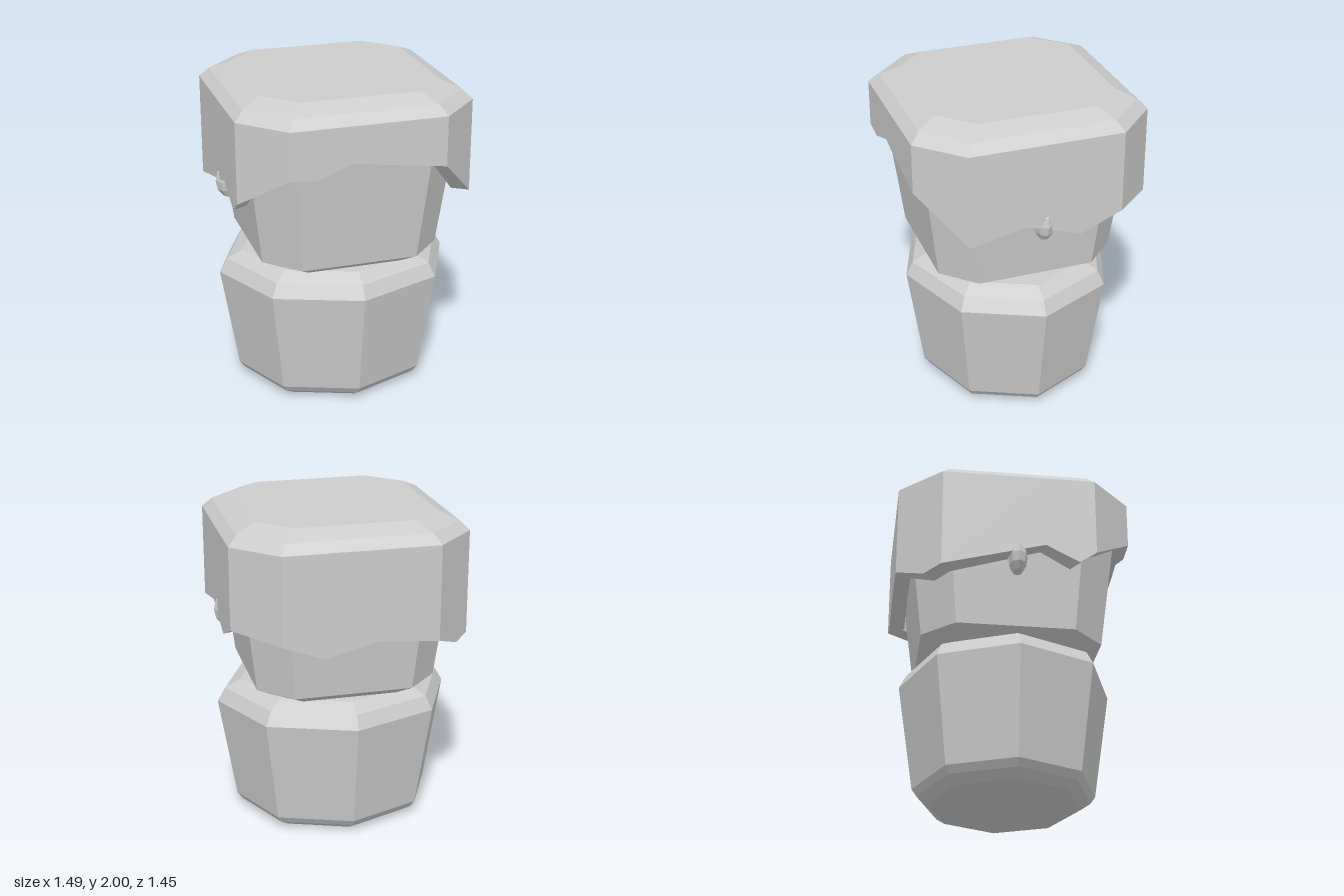
import * as THREE from 'three';

// Skin a stack of rings (equal point counts, counter-clockwise seen from above)
function loft(rings, capStart, capEnd) {
  const pos = [];
  const n = rings[0].length;
  const tri = (a, b, c) => pos.push(...a, ...b, ...c);
  for (let r = 0; r < rings.length - 1; r++) {
    const lo = rings[r], hi = rings[r + 1];
    for (let i = 0; i < n; i++) {
      const j = (i + 1) % n;
      tri(lo[i], lo[j], hi[j]);
      tri(lo[i], hi[j], hi[i]);
    }
  }
  const cap = (ring, up) => {
    const centre = [0, ring[0][1], 0];
    for (let i = 0; i < n; i++) {
      const j = (i + 1) % n;
      if (up) tri(centre, ring[i], ring[j]);
      else tri(centre, ring[j], ring[i]);
    }
  };
  if (capStart) cap(rings[0], false);
  if (capEnd) cap(rings[rings.length - 1], true);
  const g = new THREE.BufferGeometry();
  g.setAttribute('position', new THREE.Float32BufferAttribute(pos, 3));
  g.computeVertexNormals();
  return g;
}

// Square with cut corners, half width h
const CUT = 0.65;
const cutSquare = (h, y) => [
  [-CUT, 1], [CUT, 1], [1, CUT], [1, -CUT], [CUT, -1], [-CUT, -1], [-1, -CUT], [-1, CUT],
].map(([x, z]) => [x * h, y, z * h]);

// Eight-sided oval with a corner facing front
const oval = (r, y) => Array.from({ length: 8 }, (_, i) => {
  const a = (i * Math.PI) / 4;
  return [Math.sin(a) * r, y, Math.cos(a) * r * 0.892];
});

export function createModel() {
  const group = new THREE.Group();
  const grey = new THREE.MeshStandardMaterial({ color: 0xcccccc, flatShading: true });
  grey.name = 'plain grey';

  const add = (name, geometry) => {
    const mesh = new THREE.Mesh(geometry, grey);
    mesh.name = name;
    group.add(mesh);
    return mesh;
  };

  // Body: tapered, bevelled at both ends
  const bodyProfile = [[0.52, 0], [0.595, 0.045], [0.63, 0.09], [0.74, 0.75], [0.69, 0.835], [0.59, 0.885]];
  add('body', loft(bodyProfile.map(([r, y]) => oval(r, y)), true, true));

  // Head: widens upward into the hair
  const headProfile = [[0.3, 0.875], [0.45, 0.885], [0.555, 0.95], [0.66, 1.8]];
  add('head', loft(headProfile.map(([h, y]) => cutSquare(h, y)), true, true));

  // Hair: bevelled cap with a ragged hem; hem points are x, hem height, z
  const w = 0.725, c = 0.47;
  const hem = [
    [-c, 1.6, w], [-0.32, 1.585, w], [-0.09, 1.67, w], [0, 1.65, w], [c, 1.585, w],
    [w, 1.31, c], [w, 1.385, 0.12], [w, 1.275, -0.21], [w, 1.385, -c],
    [c, 1.35, -w], [0.22, 1.256, -w], [-0.09, 1.336, -w], [-c, 1.307, -w],
    [-0.628, 1.225, -0.567],
    [-w, 1.25, -c], [-w, 1.42, 0.16], [-w, 1.315, 0.367], [-w, 1.39, c],
  ];
  const hairRing = (s, y) => hem.map(([x, hy, z]) => [x * s, y ?? hy, z * s]);
  add('hair', loft([
    hairRing(0.87, 1.7), // inside wall
    hairRing(0.87),
    hairRing(1),
    hairRing(1, 1.89),
    hairRing(0.922, 1.947),
    hairRing(0.766, 2),
  ], false, true));

  // Ears: small faceted lobes under the hem
  for (const side of [1, -1]) {
    const ear = add(side > 0 ? 'leftEar' : 'rightEar', new THREE.SphereGeometry(1, 8, 6));
    ear.scale.set(0.09, 0.115, 0.06);
    ear.position.set(side * 0.655, 1.362, -0.003);
  }
  return group;
}
